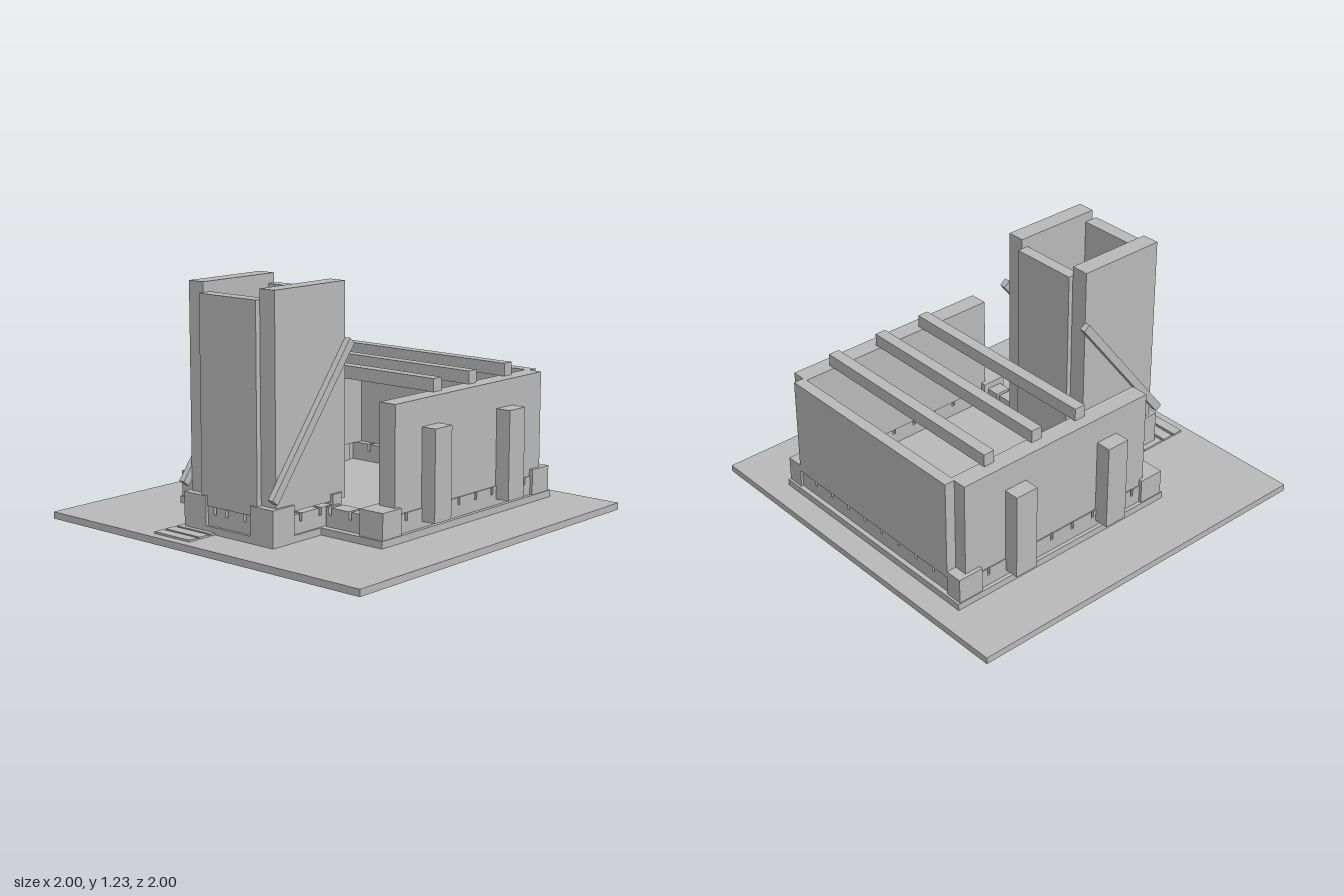
import * as THREE from 'three';

export function createModel() {
  const model = new THREE.Group();
  const concrete = new THREE.MeshStandardMaterial({ color: 0xbababa });
  concrete.name = 'concrete grey';

  // Box given by its limits on each axis
  function box(name, x0, x1, y0, y1, z0, z1, parent = model) {
    const mesh = new THREE.Mesh(new THREE.BoxGeometry(x1 - x0, y1 - y0, z1 - z0), concrete);
    mesh.position.set((x0 + x1) / 2, (y0 + y1) / 2, (z0 + z1) / 2);
    mesh.name = name;
    parent.add(mesh);
    return mesh;
  }
  // The same box on both sides of the model
  function pair(name, x0, x1, y0, y1, z0, z1) {
    box(name + 'Left', x0, x1, y0, y1, z0, z1);
    box(name + 'Right', -x1, -x0, y0, y1, z0, z1);
  }
  // Low wall along an axis: a solid course, then blocks parted by narrow slots
  function slottedWall(name, axis, from, to, c0, c1, slots) {
    const group = new THREE.Group();
    group.name = name;
    const piece = (part, a, b, y0, y1) => axis === 'x'
      ? box(part, a, b, y0, y1, c0, c1, group)
      : box(part, c0, c1, y0, y1, a, b, group);
    piece('course', from, to, 0.07, 0.127);
    let start = from;
    for (const s of [...slots, null]) {
      piece('block', start, s === null ? to : s - 0.008, 0.127, 0.165);
      if (s !== null) start = s + 0.008;
    }
    model.add(group);
  }

  // Ground slab, foundations and front steps
  box('groundSlab', -1, 1, 0, 0.035, -1, 1);
  box('hallFoundation', -0.665, 0.665, 0.035, 0.07, -0.88, 0.455);
  box('towerFoundation', -0.29, 0.29, 0.035, 0.07, 0.455, 0.785);
  for (const [z0, z1] of [[0.68, 0.81], [0.825, 0.885], [0.9, 0.955]])
    box('step', -0.32, -0.085, 0.035, 0.045, z0, z1);

  // Hall: corner blocks and slotted low walls
  pair('hallFrontCorner', 0.52, 0.66, 0.07, 0.2, 0.31, 0.445);
  pair('hallBackCorner', 0.57, 0.66, 0.07, 0.2, -0.868, -0.73);
  const sideSlots = [-0.678, -0.544, -0.411, -0.278, -0.144, -0.01, 0.123, 0.257];
  slottedWall('sideLowWallLeft', 'z', -0.73, 0.31, 0.56, 0.645, sideSlots);
  slottedWall('sideLowWallRight', 'z', -0.73, 0.31, -0.645, -0.56, sideSlots);
  const backSlots = [-0.455, -0.325, -0.195, -0.065, 0.065, 0.195, 0.325, 0.455];
  slottedWall('backLowWall', 'x', -0.57, 0.57, -0.855, -0.768, backSlots);
  slottedWall('frontLowWallLeft', 'x', 0.29, 0.52, 0.335, 0.42, [0.315, 0.44]);
  slottedWall('frontLowWallRight', 'x', -0.52, -0.29, 0.335, 0.42, [-0.44, -0.315]);

  // Hall: tall walls, buttresses and roof beams
  pair('hallSideWall', 0.545, 0.64, 0.165, 0.69, -0.815, 0.335);
  box('hallBackWall', -0.57, 0.57, 0.165, 0.69, -0.868, -0.81);
  for (const z of [0.075, -0.508])
    pair('buttress', 0.64, 0.72, 0.1, 0.555, z - 0.063, z + 0.063);
  for (const z of [-0.05, -0.325, -0.615])
    box('roofBeam', -0.58, 0.58, 0.69, 0.755, z - 0.03, z + 0.03);

  // Tower: corner blocks and slotted low walls
  pair('towerFrontCorner', 0.145, 0.29, 0.07, 0.215, 0.64, 0.785);
  pair('towerBackCorner', 0.145, 0.29, 0.07, 0.215, 0.305, 0.37);
  slottedWall('towerFrontLowWall', 'x', -0.145, 0.145, 0.655, 0.77, [-0.098, -0.022, 0.096]);
  slottedWall('towerBackLowWall', 'x', -0.145, 0.145, 0.34, 0.425, [-0.075, 0.075]);
  slottedWall('towerLowWallLeft', 'z', 0.37, 0.64, 0.17, 0.28, [0.45, 0.585]);
  slottedWall('towerLowWallRight', 'z', 0.37, 0.64, -0.28, -0.17, [0.45, 0.585]);

  // Tower: side slabs, front and back panels
  pair('towerSideSlab', 0.182, 0.275, 0.18, 1.225, 0.268, 0.748);
  box('towerFrontPanel', -0.182, 0.182, 0.165, 1.175, 0.7, 0.775);
  box('towerBackPanel', -0.182, 0.182, 0.165, 1.175, 0.243, 0.305);

  // Slanted braces against the tower sides
  for (const side of [-1, 1]) {
    const brace = new THREE.Mesh(new THREE.BoxGeometry(0.032, 0.873, 0.042), concrete);
    brace.position.set(side * 0.291, 0.598, 0.518);
    brace.rotation.x = -Math.atan2(0.535, 0.69);
    brace.name = side > 0 ? 'braceLeft' : 'braceRight';
    model.add(brace);
  }
  return model;
}
